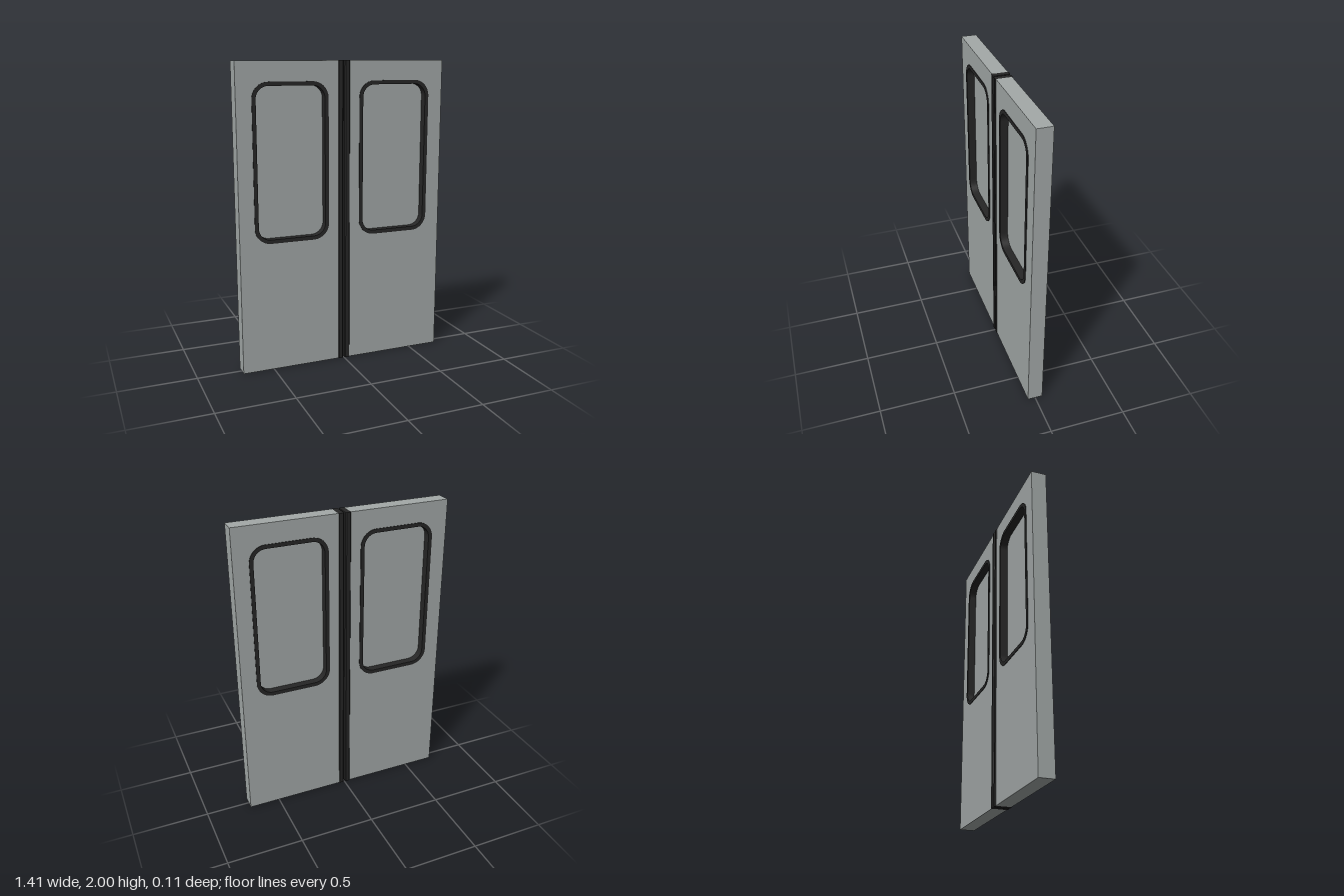
import * as THREE from 'three';

const HEIGHT = 2;
const DEPTH = 0.1;

// Traces a rounded rectangle onto a Shape or Path
function roundedRect(path, x0, y0, x1, y1, r) {
  path.moveTo(x0 + r, y0);
  path.lineTo(x1 - r, y0);
  path.absarc(x1 - r, y0 + r, r, -Math.PI / 2, 0, false);
  path.lineTo(x1, y1 - r);
  path.absarc(x1 - r, y1 - r, r, 0, Math.PI / 2, false);
  path.lineTo(x0 + r, y1);
  path.absarc(x0 + r, y1 - r, r, Math.PI / 2, Math.PI, false);
  path.lineTo(x0, y0 + r);
  path.absarc(x0 + r, y0 + r, r, Math.PI, Math.PI * 1.5, false);
  return path;
}

// Window outline shrunk by an inset
const windowOutline = (path, inset) =>
  roundedRect(path, 0.107 + inset, 0.857 + inset, 0.607 - inset, 1.873 - inset, 0.105 - inset);

// Extrudes a shape centred on z = 0
function slab(shape, depth) {
  const geo = new THREE.ExtrudeGeometry(shape, { depth, bevelEnabled: false, curveSegments: 8 });
  return geo.translate(0, 0, -depth / 2);
}

export function createModel() {
  const panelGrey = new THREE.MeshStandardMaterial({ name: 'panelGrey', color: 0xa3a9a8 });
  const rubberBlack = new THREE.MeshStandardMaterial({ name: 'rubberBlack', color: 0x262626 });

  // Door leaf with a window opening
  const leafShape = new THREE.Shape();
  leafShape.moveTo(0.04, 0);
  leafShape.lineTo(0.707, 0);
  leafShape.lineTo(0.707, HEIGHT);
  leafShape.lineTo(0.04, HEIGHT);
  leafShape.closePath();
  leafShape.holes.push(windowOutline(new THREE.Path(), 0.005));
  const leafGeo = slab(leafShape, DEPTH);

  // Gasket lining the opening, slightly proud on both faces
  const gasketShape = windowOutline(new THREE.Shape(), 0);
  gasketShape.holes.push(windowOutline(new THREE.Path(), 0.025));
  const gasketGeo = slab(gasketShape, DEPTH + 0.008);

  // Recessed pane in the middle of the leaf
  const paneGeo = slab(windowOutline(new THREE.Shape(), 0.015), 0.008);

  // Closing-edge seal: chamfered section run up the full height
  const x0 = 0.005, x1 = 0.042, z = 0.054, c = 0.006;
  const sealShape = new THREE.Shape([
    [x0 + c, -z], [x1 - c, -z], [x1, -z + c], [x1, z - c],
    [x1 - c, z], [x0 + c, z], [x0, z - c], [x0, -z + c],
  ].map(([x, y]) => new THREE.Vector2(x, y)));
  const sealGeo = new THREE.ExtrudeGeometry(sealShape, { depth: HEIGHT, bevelEnabled: false });
  sealGeo.rotateX(-Math.PI / 2);

  const model = new THREE.Group();
  model.name = 'doubleDoor';

  // Every part is symmetric in z, so a half turn gives the other door
  for (const side of ['left', 'right']) {
    const door = new THREE.Group();
    door.name = side + 'Door';
    const parts = [
      ['Leaf', leafGeo, panelGrey],
      ['WindowGasket', gasketGeo, rubberBlack],
      ['WindowPane', paneGeo, panelGrey],
      ['EdgeSeal', sealGeo, rubberBlack],
    ];
    for (const [name, geo, material] of parts) {
      const mesh = new THREE.Mesh(geo, material);
      mesh.name = side + name;
      door.add(mesh);
    }
    if (side === 'right') door.rotation.y = Math.PI;
    model.add(door);
  }
  return model;
}
